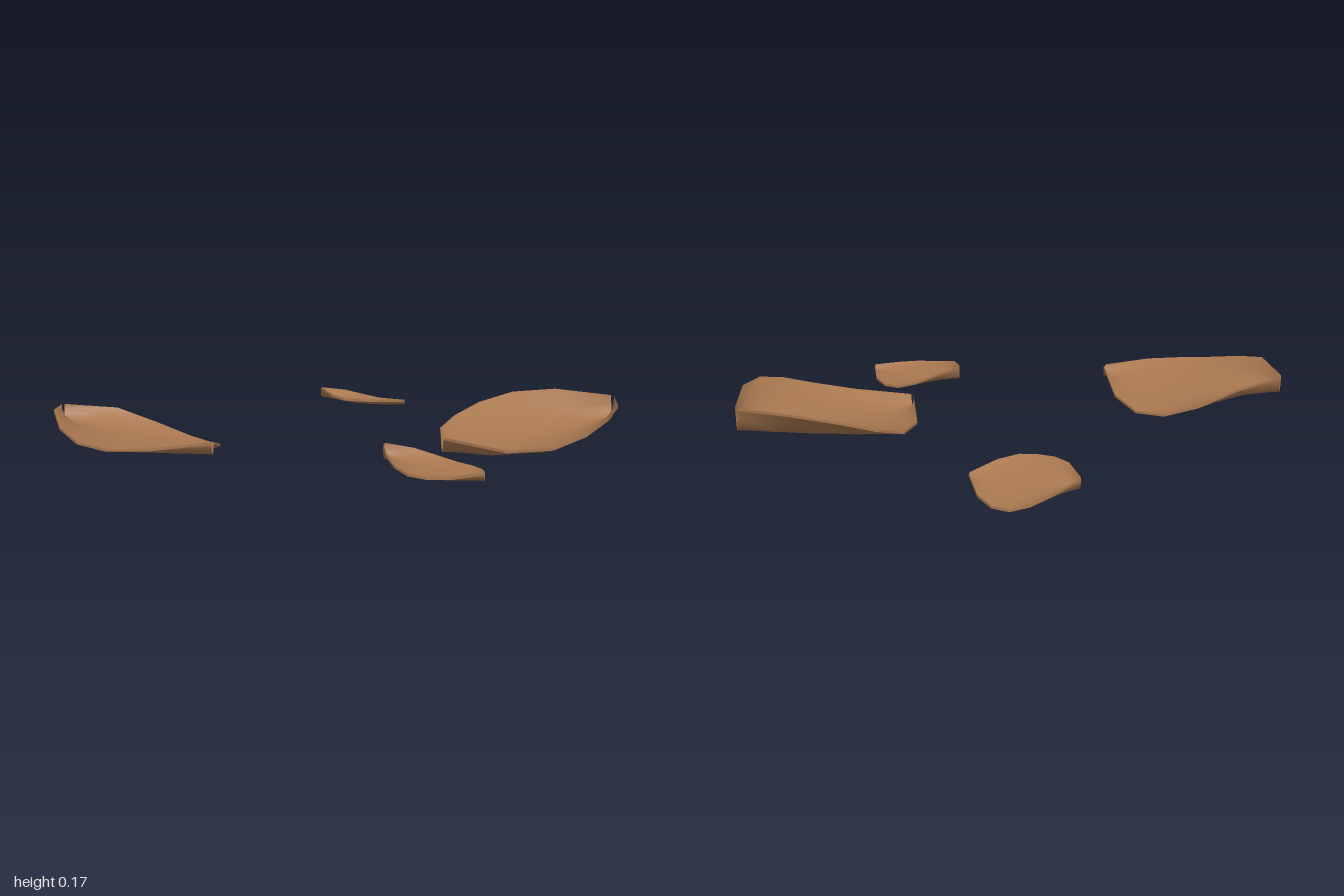
import * as THREE from 'three';
import { mergeGeometries } from 'three/addons/utils/BufferGeometryUtils.js';

const THICKNESS = 0.01;
const ACROSS = 10; // segments from edge to edge
// Half width at the seven stations from base to tip, relative to the widest
const OUTLINE = [0.025, 0.56, 0.87, 1, 0.945, 0.645, 0.025];

// Each leaf: base and tip in (x, z), half width, sideways tilt,
// midrib height and edge lift at the seven stations
const LEAVES = [
  { name: 'largeLeafRight', base: [-1, 0.45], tip: [-0.26, 0.6], width: 0.295, tilt: 0.12,
    mid: [0.085, 0.07, 0.052, 0.035, 0.03, 0.035, 0.045],
    lift: [0.055, 0.065, 0.035, 0.015, 0.008, 0.015, 0.035] },
  { name: 'largeLeafLeft', base: [0.91, -0.49], tip: [0.42, 0.09], width: 0.373, tilt: 0,
    mid: [0.08, 0.055, 0.035, 0.02, 0.008, 0.003, 0.015],
    lift: [0.08, 0.11, 0.11, 0.085, 0.055, 0.04, 0.045] },
  { name: 'smallLeafBack', base: [-0.42, -0.65], tip: [-0.025, -0.64], width: 0.187, tilt: 0.15,
    mid: [0.05, 0.044, 0.038, 0.035, 0.035, 0.037, 0.045],
    lift: [0.03, 0.03, 0.02, 0.012, 0.012, 0.012, 0.01] },
  { name: 'smallLeafFront', base: [0.32, 0.41], tip: [0.72, 0.49], width: 0.16, tilt: 0.05,
    mid: [0.045, 0.035, 0.025, 0.018, 0.014, 0.014, 0.018],
    lift: [0.045, 0.035, 0.02, 0.01, 0.01, 0.012, 0.02] },
];

// Skin a grid of points given as rows
function sheet(rows, { flip = false, flat = false } = {}) {
  const n = rows[0].length;
  const index = [];
  for (let r = 0; r < rows.length - 1; r++) {
    for (let c = 0; c < n - 1; c++) {
      const a = r * n + c, b = a + 1, d = a + n, e = d + 1;
      if (flip) index.push(a, d, b, b, d, e);
      else index.push(a, b, d, b, e, d);
    }
  }
  let geo = new THREE.BufferGeometry().setFromPoints(rows.flat());
  geo.setIndex(index);
  if (flat) geo = geo.toNonIndexed();
  geo.computeVertexNormals();
  return flat ? geo : geo.toNonIndexed();
}

function leafGeometry({ base, tip, width, tilt, mid, lift }) {
  const dx = tip[0] - base[0], dz = tip[1] - base[1];
  const length = Math.hypot(dx, dz);
  const nx = -dz / length, nz = dx / length;

  // Cupped cross-sections from base to tip
  const top = OUTLINE.map((w, i) => {
    const t = i / (OUTLINE.length - 1);
    const row = [];
    for (let j = 0; j <= ACROSS; j++) {
      const v = (2 * j) / ACROSS - 1;
      const s = v * w * width;
      row.push(new THREE.Vector3(
        base[0] + dx * t + nx * s,
        mid[i] + THICKNESS + lift[i] * v * v + tilt * s,
        base[1] + dz * t + nz * s));
    }
    return row;
  });
  const lower = (p) => new THREE.Vector3(p.x, p.y - THICKNESS, p.z);
  const bottom = top.map((row) => row.map(lower));

  // Rim around the outline
  const last = top.length - 1;
  const loop = [
    ...top.map((row) => row[0]),
    ...top[last].slice(1, -1),
    ...top.map((row) => row[ACROSS]).reverse(),
    ...top[0].slice(0, -1).reverse(),
  ];
  return mergeGeometries([
    sheet(top),
    sheet(bottom, { flip: true }),
    sheet([loop, loop.map(lower)], { flat: true }),
  ]);
}

export function createModel() {
  const group = new THREE.Group();
  group.name = 'fallenLeaves';
  const leafBrown = new THREE.MeshStandardMaterial({ color: 0xa97850 });
  leafBrown.name = 'leafBrown';
  for (const leaf of LEAVES) {
    const mesh = new THREE.Mesh(leafGeometry(leaf), leafBrown);
    mesh.name = leaf.name;
    group.add(mesh);
  }
  return group;
}
